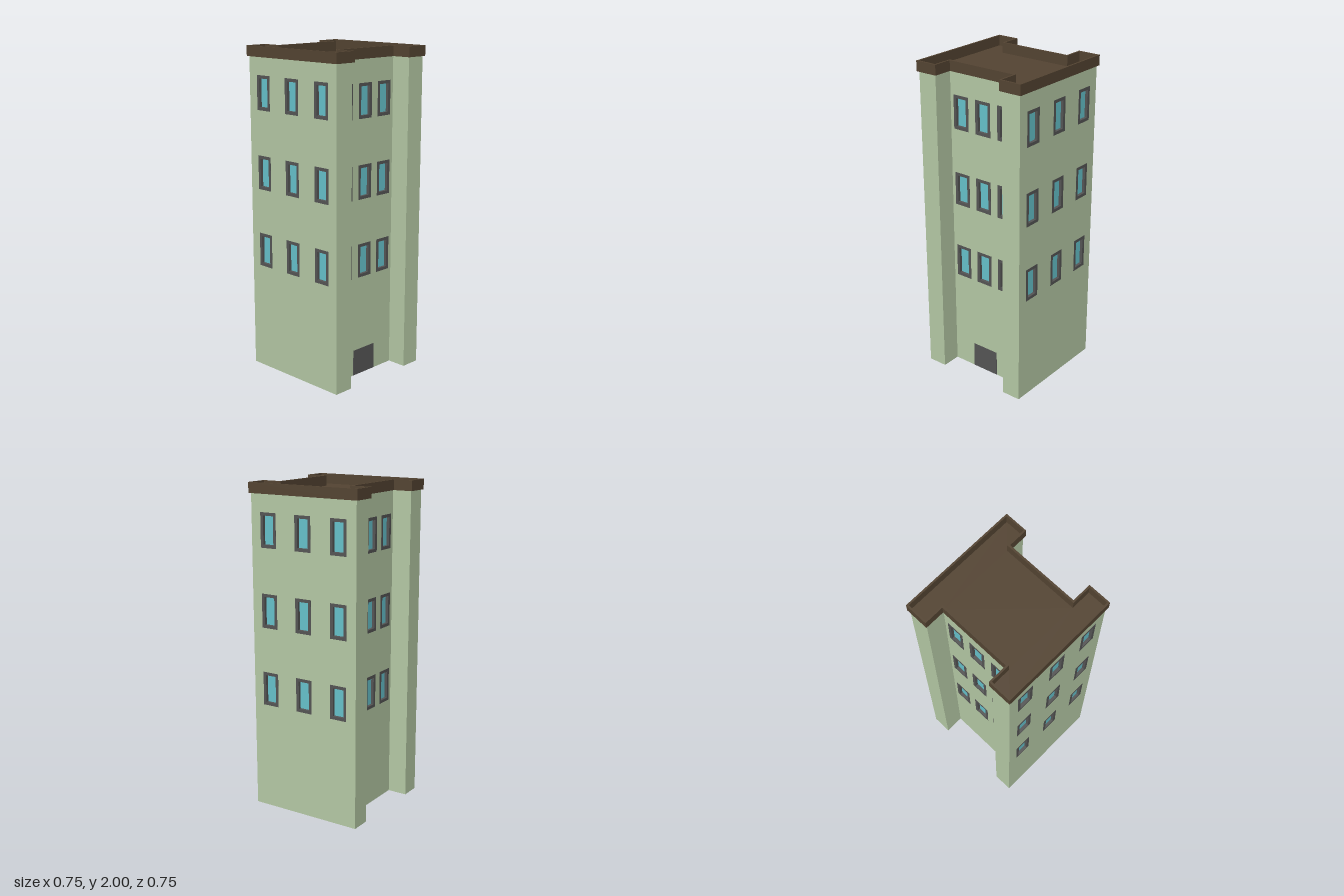
import * as THREE from 'three';

const mat = (color) => new THREE.MeshStandardMaterial({ color, flatShading: true, side: THREE.DoubleSide });
const WALL_TOP = 1.937;
const BODY = 0.363, NOTCH = 0.24; // half size of the body, half size of the recessed waist

// I-shaped outline: half size a, waist half width n, inner edge of the wings z
function outline(Type, a, n, z) {
  return new Type([
    [a, a], [-a, a], [-a, z], [-n, z], [-n, -z], [-a, -z],
    [-a, -a], [a, -a], [a, -z], [n, -z], [n, z], [a, z],
  ].map(([x, y]) => new THREE.Vector2(x, y)));
}

function rect(Type, x, y, w, h) {
  return new Type([[-1, 0], [1, 0], [1, 1], [-1, 1]].map(
    ([u, v]) => new THREE.Vector2(x + u * w / 2, y + v * h)));
}

export function createModel() {
  const model = new THREE.Group();
  model.name = 'apartmentBuilding';
  const wallMat = mat(0xb5c9a5), frameMat = mat(0x555555), glassMat = mat(0x66c2cc);
  const doorMat = mat(0x6b6050), roofMat = mat(0x544432);

  const add = (parent, name, geometry, material) => {
    const mesh = new THREE.Mesh(geometry, material);
    mesh.name = name;
    parent.add(mesh);
    return mesh;
  };

  // Frame flush with the wall, pane set back inside it
  function opening(name, x, y, w, h, bar, depth, paneMat, bottomBar = bar) {
    const group = new THREE.Group();
    group.name = name;
    const ih = h - bar - bottomBar;
    const ring = rect(THREE.Shape, 0, 0, w, h);
    if (bottomBar > 0) ring.holes.push(rect(THREE.Path, 0, bottomBar, w - 2 * bar, ih));
    else ring.setFromPoints([
      [-w / 2, 0], [-w / 2 + bar, 0], [-w / 2 + bar, ih], [w / 2 - bar, ih],
      [w / 2 - bar, 0], [w / 2, 0], [w / 2, h], [-w / 2, h], [-w / 2, 0],
    ].map(([u, v]) => new THREE.Vector2(u, v)));
    const frame = add(group, name + 'Frame',
      new THREE.ExtrudeGeometry(ring, { depth, bevelEnabled: false }), frameMat);
    frame.position.z = -depth + 0.001;
    const pane = add(group, name + 'Pane', new THREE.PlaneGeometry(w - 2 * bar, ih), paneMat);
    pane.position.set(0, bottomBar + ih / 2, -depth * 0.85);
    group.position.set(x, y, 0);
    return group;
  }

  // Wall with three rows of three windows and an optional door at the ground
  function facade(name, width, spacing, rows, hasDoor) {
    const group = new THREE.Group();
    group.name = name;
    const w = 0.11, h = 0.208, dw = 0.184, dh = 0.163, s = width / 2;
    const points = [[s, 0], [s, WALL_TOP], [-s, WALL_TOP], [-s, 0]];
    if (hasDoor) points.push([-dw / 2, 0], [-dw / 2, dh], [dw / 2, dh], [dw / 2, 0]);
    const shape = new THREE.Shape(points.map(([x, y]) => new THREE.Vector2(x, y)));
    for (const y of rows) {
      for (const i of [-1, 0, 1]) {
        shape.holes.push(rect(THREE.Path, i * spacing, y, w, h));
        group.add(opening('window', i * spacing, y, w, h, 0.019, 0.02, glassMat));
      }
    }
    if (hasDoor) group.add(opening('door', 0, 0, dw, dh, 0.008, 0.012, doorMat, 0));
    add(group, name + 'Wall', new THREE.ShapeGeometry(shape), wallMat);
    model.add(group);
    return group;
  }

  // Front and back, then the two recessed sides
  const mainRows = [0.657, 1.14, 1.622], sideRows = [0.625, 1.108, 1.59];
  facade('frontFacade', 2 * BODY, 0.243, mainRows, false).position.z = BODY;
  const back = facade('backFacade', 2 * BODY, 0.243, mainRows, false);
  back.position.z = -BODY;
  back.rotation.y = Math.PI;
  for (const side of [1, -1]) {
    const wall = facade('sideFacade', 2 * NOTCH, 0.162, sideRows, side > 0);
    wall.position.x = side * NOTCH;
    wall.rotation.y = side * Math.PI / 2;
  }

  // Plain walls at the ends and inner faces of the wings
  const mid = (BODY + NOTCH) / 2;
  for (const sx of [1, -1]) {
    for (const sz of [1, -1]) {
      const plane = new THREE.PlaneGeometry(BODY - NOTCH, WALL_TOP);
      const end = add(model, 'wingEnd', plane, wallMat);
      end.position.set(sx * BODY, WALL_TOP / 2, sz * mid);
      end.rotation.y = sx * Math.PI / 2;
      const inner = add(model, 'wingInnerWall', plane, wallMat);
      inner.position.set(sx * mid, WALL_TOP / 2, sz * NOTCH);
      inner.rotation.y = sz > 0 ? Math.PI : 0;
    }
  }

  // Flat roof and the overhanging parapet around it
  const roof = add(model, 'roof',
    new THREE.ShapeGeometry(outline(THREE.Shape, BODY, NOTCH, NOTCH)), roofMat);
  roof.rotation.x = -Math.PI / 2;
  roof.position.y = WALL_TOP;
  const rim = outline(THREE.Shape, 0.374, 0.252, 0.229);
  rim.holes.push(outline(THREE.Path, BODY, NOTCH, NOTCH));
  const parapet = add(model, 'parapet',
    new THREE.ExtrudeGeometry(rim, { depth: 2 - WALL_TOP, bevelEnabled: false }), roofMat);
  parapet.rotation.x = -Math.PI / 2;
  parapet.position.y = WALL_TOP;

  return model;
}
